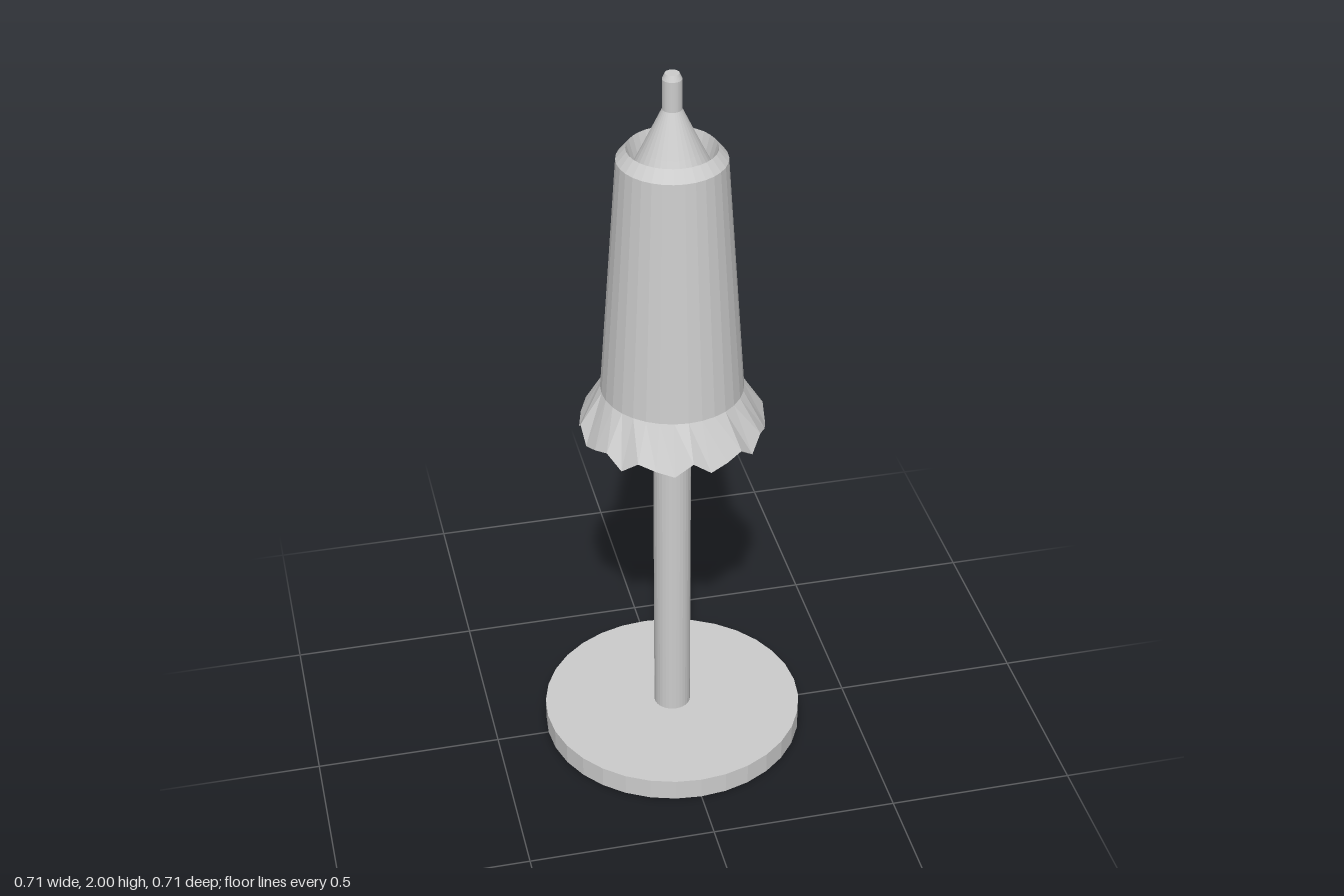
import * as THREE from 'three';

const SIDES = 32;

export function createModel() {
  const model = new THREE.Group();
  const grey = new THREE.MeshStandardMaterial({ color: 0xcccccc });
  grey.name = 'light grey';
  grey.flatShading = true;

  // Turned part from [radius, height] pairs, listed bottom to top
  const turned = (name, profile) => {
    const points = profile.map(([r, y]) => new THREE.Vector2(r, y));
    const mesh = new THREE.Mesh(new THREE.LatheGeometry(points, SIDES), grey);
    mesh.name = name;
    model.add(mesh);
    return mesh;
  };

  // Round foot and pole
  turned('base', [[0, 0], [0.356, 0], [0.356, 0.06], [0, 0.06]]);
  turned('pole', [[0.05, 0.06], [0.05, 1.0]]);

  // Folded canopy: pleated underside, flared hem, tapered body, sunken top
  const hemRadius = 0.244;
  const canopy = turned('canopy', [
    [0, 0.95], [hemRadius, 1.0], [0.187, 1.11],
    [0.14, 1.77], [0.115, 1.8], [0.1, 1.75],
  ]);

  // Ruffle the hem with twelve waves
  const pos = canopy.geometry.attributes.position;
  for (let i = 0; i < pos.count; i++) {
    const x = pos.getX(i), z = pos.getZ(i);
    if (Math.abs(Math.hypot(x, z) - hemRadius) < 0.001) {
      pos.setY(i, pos.getY(i) + 0.021 * Math.cos(12 * Math.atan2(x, z)));
    }
  }
  canopy.geometry.computeVertexNormals();

  // Conical cap and tip
  turned('finial', [
    [0.1, 1.75], [0.075, 1.8], [0.025, 1.905],
    [0.025, 1.985], [0.018, 2.0], [0, 2.0],
  ]);

  return model;
}
